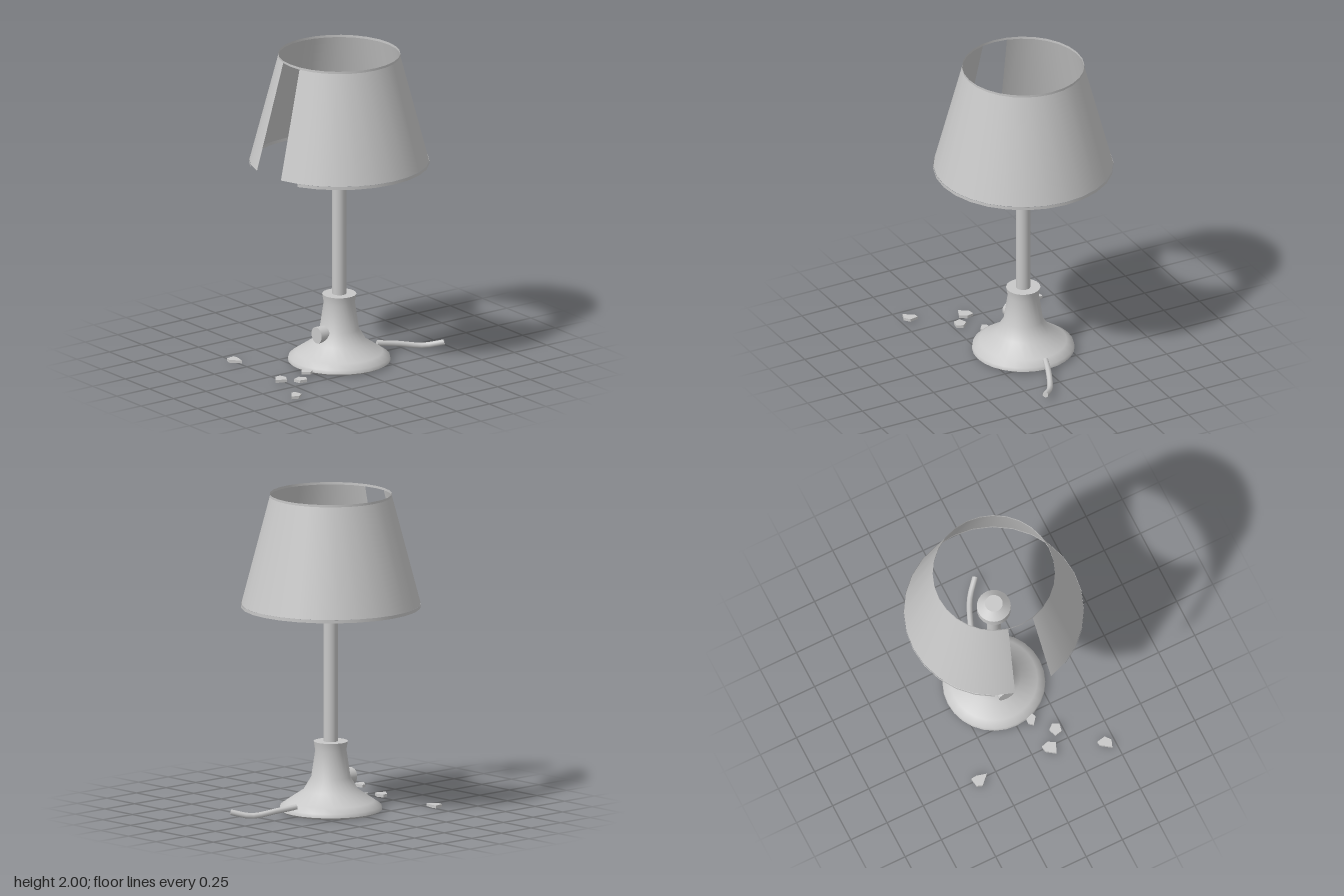
import * as THREE from 'three';
import { toCreasedNormals } from 'three/addons/utils/BufferGeometryUtils.js';

const AXIS_Z = -0.025; // lamp axis, set slightly back from the centre
const STEP = (Math.PI * 2) / 28; // one facet of the lamp

export function createModel() {
  const lamp = new THREE.Group();
  lamp.name = 'brokenTableLamp';

  const grey = new THREE.MeshStandardMaterial({ color: 0xc8c8c8, side: THREE.DoubleSide });
  grey.name = 'plain grey';

  const add = (name, geometry, z = AXIS_Z, y = 0, x = 0) => {
    const mesh = new THREE.Mesh(geometry, grey);
    mesh.name = name;
    mesh.position.set(x, y, z);
    lamp.add(mesh);
    return mesh;
  };

  // Revolved part; gap = number of facets missing on each side of the front
  const turned = (points, gap = 0) =>
    new THREE.LatheGeometry(
      points.map(([r, y]) => new THREE.Vector2(r, y)),
      28 - 2 * gap, gap * STEP, (28 - 2 * gap) * STEP
    );

  // Shade: cone with a broken-out panel, a whole top rim and a chipped lower rim
  add('shade', turned([[0.555, 1.31], [0.378, 1.985]], 1));
  add('shadeTopRim', turned([[0.378, 1.985], [0.378, 2]]));
  add('shadeBottomRim', turned([[0.557, 1.29], [0.557, 1.31]], 2));

  // Flared foot with a lipped neck
  const base = turned([
    [0, 0.004], [0.295, 0.004], [0.318, 0.018], [0.314, 0.042], [0.27, 0.072],
    [0.169, 0.14], [0.122, 0.22], [0.097, 0.39], [0.106, 0.445], [0, 0.445],
  ]);
  add('base', toCreasedNormals(base, 0.9));

  // Pole and bulb socket
  add('pole', new THREE.CylinderGeometry(0.044, 0.044, 0.92, 20), AXIS_Z, 0.89);
  const socket = turned([[0, 1.342], [0.105, 1.342], [0.105, 1.4], [0.055, 1.445], [0, 1.445]]);
  add('socket', toCreasedNormals(socket, 0.5));

  // Switch knob on the front of the foot
  const knob = new THREE.CylinderGeometry(0.052, 0.052, 0.08, 20).rotateX(Math.PI / 2);
  add('switchKnob', knob, 0.11, 0.205);

  // Torn cord trailing behind, with end caps
  const path = new THREE.CatmullRomCurve3([
    [0, 0.068, -0.315], [0.045, 0.052, -0.44], [0.115, 0.03, -0.585], [0.2, 0.055, -0.684],
  ].map((p) => new THREE.Vector3(...p)));
  const cordRadius = 0.018;
  add('cord', new THREE.TubeGeometry(path, 9, cordRadius, 8), 0);
  [0, 1].forEach((t) => {
    const p = path.getPoint(t);
    const dir = path.getTangent(t).multiplyScalar(t ? 1 : -1);
    const cap = add('cordEnd', new THREE.CircleGeometry(cordRadius, 8), p.z, p.y, p.x);
    cap.quaternion.setFromUnitVectors(new THREE.Vector3(0, 0, 1), dir);
  });

  // Shards on the ground, outlined as x, z
  const shards = [
    [[-0.41, 0.483], [-0.375, 0.478], [-0.308, 0.495], [-0.365, 0.552], [-0.4, 0.54]],
    [[0.07, 0.275], [0.115, 0.26], [0.13, 0.292], [0.095, 0.337], [0.068, 0.315]],
    [[0.075, 0.488], [0.12, 0.475], [0.165, 0.5], [0.138, 0.567], [0.08, 0.525]],
    [[0.165, 0.41], [0.2, 0.38], [0.24, 0.4], [0.23, 0.45], [0.185, 0.46]],
    [[0.395, 0.613], [0.452, 0.602], [0.48, 0.64], [0.463, 0.685], [0.4, 0.64]],
  ];
  shards.forEach((outline) => {
    const shape = new THREE.Shape(outline.map(([x, z]) => new THREE.Vector2(x, z)));
    const shard = new THREE.ExtrudeGeometry(shape, { depth: 0.018, bevelEnabled: false });
    add('shard', shard.rotateX(Math.PI / 2), 0, 0.029);
  });

  return lamp;
}
